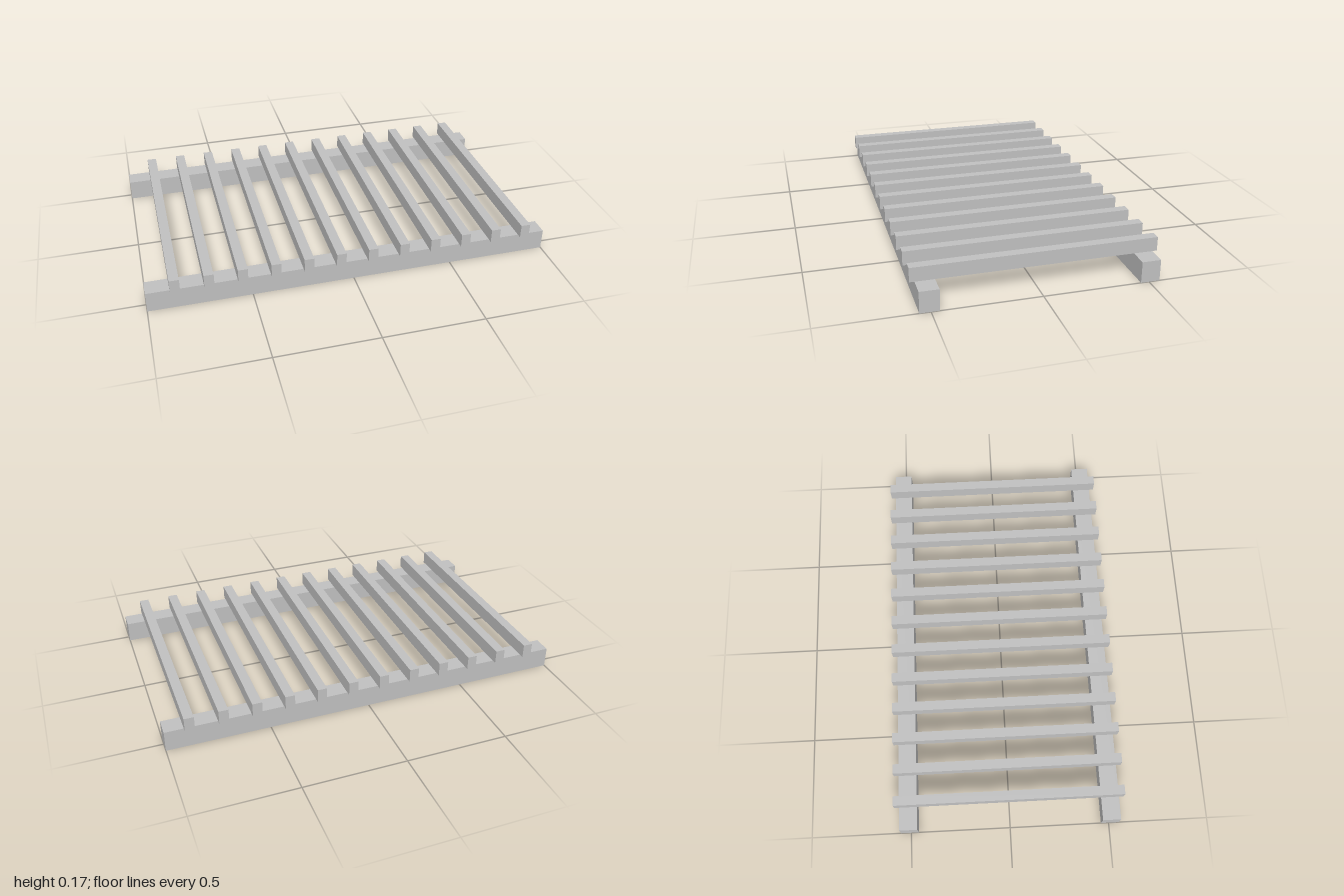
import * as THREE from 'three';

export function createModel() {
  const group = new THREE.Group();
  const grey = new THREE.MeshStandardMaterial({ color: 0xbfbfbf });
  grey.name = 'grey';

  const railHeight = 0.103, slatHeight = 0.068;
  const railGeometry = new THREE.BoxGeometry(2, railHeight, 0.09);
  const slatGeometry = new THREE.BoxGeometry(0.047, slatHeight, 1.148);

  const addPart = (name, geometry, x, y, z) => {
    const mesh = new THREE.Mesh(geometry, grey);
    mesh.name = name;
    mesh.position.set(x, y, z);
    group.add(mesh);
  };

  // Two long bearers lying on the ground
  addPart('frontRail', railGeometry, 0, railHeight / 2, 0.506);
  addPart('backRail', railGeometry, 0, railHeight / 2, -0.506);

  // Twelve evenly spaced slats resting across the bearers
  const slatCount = 12, firstX = -0.864, spacing = 0.159;
  for (let i = 0; i < slatCount; i++) {
    addPart(`slat${i + 1}`, slatGeometry, firstX + i * spacing, railHeight + slatHeight / 2, 0);
  }

  return group;
}
